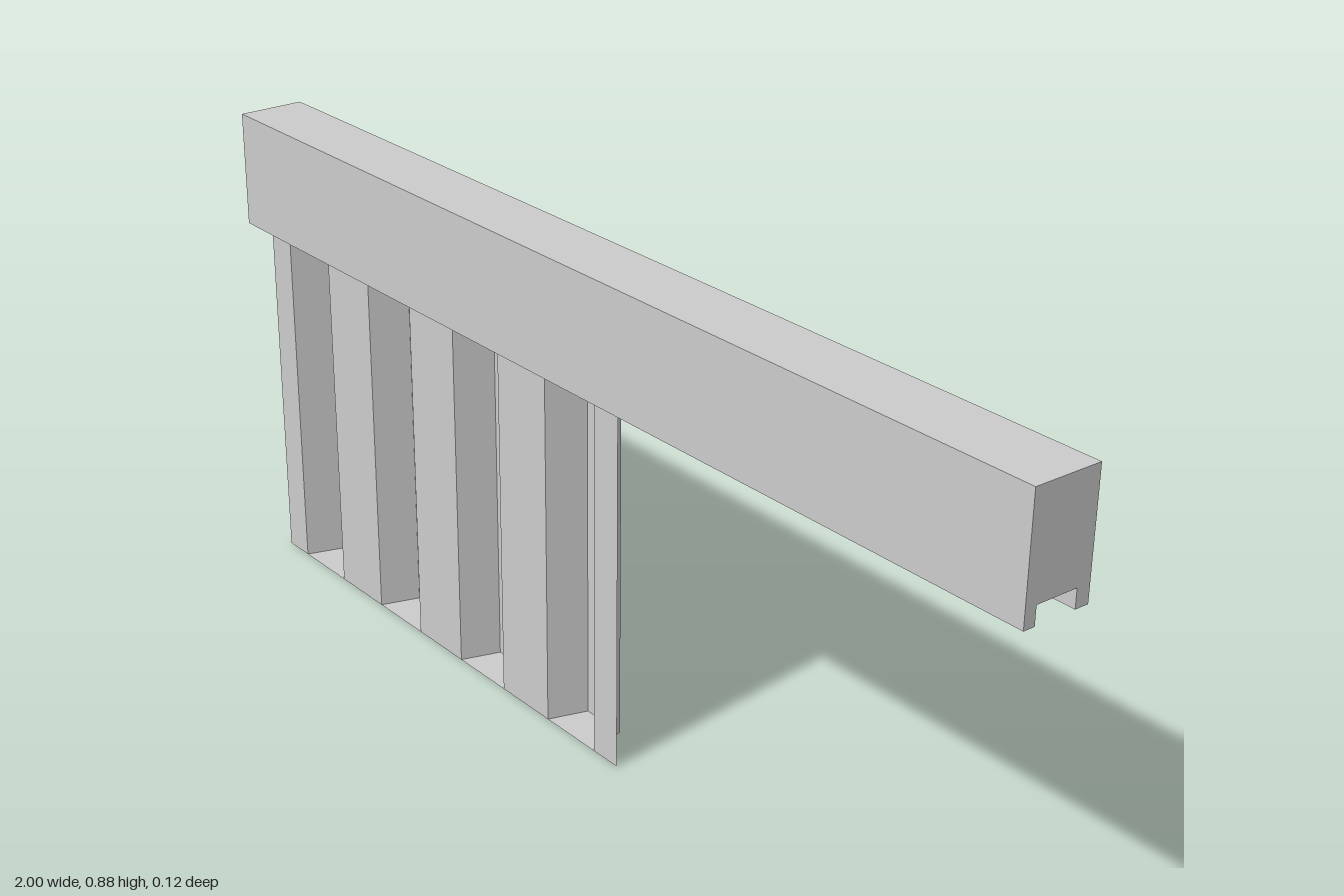
import * as THREE from 'three';

const BEAM = { bottom: 0.667, top: 0.88, half: 0.0625, grooveFront: 0.041, grooveBack: -0.037, grooveTop: 0.7 };
const SHEET = { left: -0.955, right: 0.099, front: 0.0385, back: -0.034, top: 0.698 };
const CHANNELS = 4, FIRST = -0.893, PITCH = 0.2655, SLOPE = 0.021, WIDTH = 0.133;

// [x, z] corners of one recessed channel
function channel(i) {
  const a = FIRST + i * PITCH, b = a + WIDTH;
  return [[a, SHEET.front], [a + SLOPE, SHEET.back], [b - SLOPE, SHEET.back], [b, SHEET.front]];
}

export function createModel() {
  const group = new THREE.Group();
  const solid = new THREE.MeshStandardMaterial({ color: 0xcccccc, flatShading: true });
  const thin = new THREE.MeshStandardMaterial({ color: 0xcccccc, flatShading: true, side: THREE.DoubleSide });
  const add = (name, geometry, material, parent = group) => {
    const mesh = new THREE.Mesh(geometry, material);
    mesh.name = name;
    parent.add(mesh);
    return mesh;
  };

  // Beam: rectangular section with a groove underneath, drawn with -z as its horizontal axis
  const { bottom, top, half, grooveFront, grooveBack, grooveTop } = BEAM;
  const section = new THREE.Shape([
    [-half, bottom], [-grooveFront, bottom], [-grooveFront, grooveTop], [-grooveBack, grooveTop],
    [-grooveBack, bottom], [half, bottom], [half, top], [-half, top],
  ].map(([x, y]) => new THREE.Vector2(x, y)));
  const beam = new THREE.ExtrudeGeometry(section, { depth: 2, bevelEnabled: false });
  beam.rotateY(Math.PI / 2).translate(-1, 0, 0);
  add('groovedBeam', beam, solid);

  // Corrugated sheet: a plane whose columns follow the folded profile
  const panel = new THREE.Group();
  panel.name = 'corrugatedPanel';
  group.add(panel);
  const profile = [[SHEET.left, SHEET.front]];
  for (let i = 0; i < CHANNELS; i++) profile.push(...channel(i));
  profile.push([SHEET.right, SHEET.front]);

  const plane = new THREE.PlaneGeometry(1, SHEET.top, profile.length - 1, 1);
  plane.translate(0, SHEET.top / 2, 0);
  const pos = plane.attributes.position;
  for (let i = 0; i < pos.count; i++) {
    const [x, z] = profile[i % profile.length];
    pos.setX(i, x);
    pos.setZ(i, z);
  }
  const sheet = plane.toNonIndexed();
  sheet.computeVertexNormals();
  add('foldedSheet', sheet, thin, panel);

  // Plates closing each channel at the bottom and top
  for (let i = 0; i < CHANNELS; i++) {
    const shape = new THREE.Shape(channel(i).map(([x, z]) => new THREE.Vector2(x, z)));
    const plate = new THREE.ShapeGeometry(shape).rotateX(Math.PI / 2);
    add('channelFloor', plate, thin, panel);
    add('channelCap', plate, thin, panel).position.y = SHEET.top;
  }
  return group;
}
